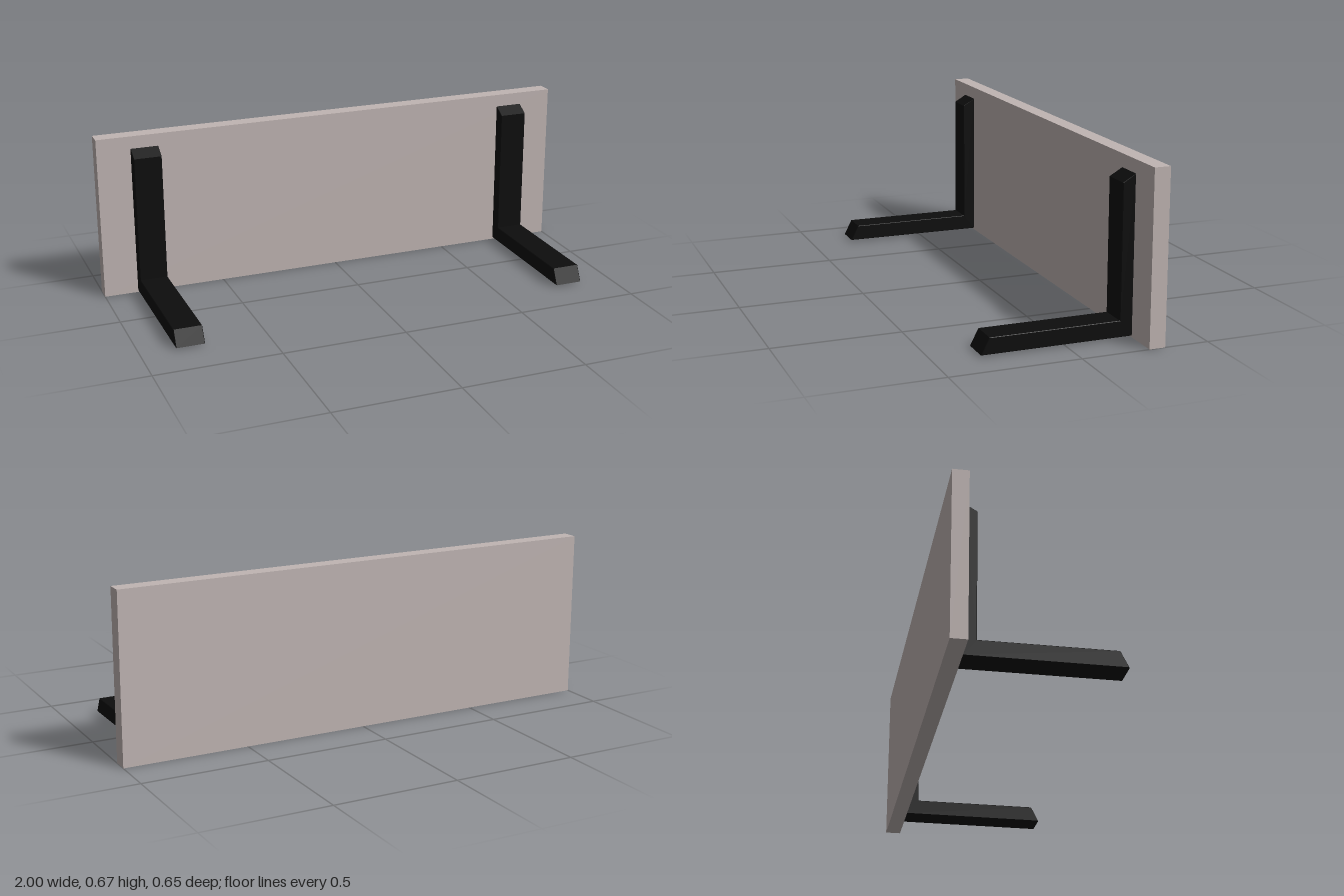
import * as THREE from 'three';

export function createModel() {
  const group = new THREE.Group();
  const panelMaterial = new THREE.MeshStandardMaterial({ color: 0xc0b5b3, flatShading: true });
  panelMaterial.name = 'warm grey panel';
  const bracketMaterial = new THREE.MeshStandardMaterial({ color: 0x0d0d0d, flatShading: true });
  bracketMaterial.name = 'black bracket';

  // Upright board
  const panel = new THREE.Mesh(new THREE.BoxGeometry(2, 0.666, 0.063), panelMaterial);
  panel.name = 'panel';
  panel.position.set(0, 0.333, -0.2955);
  group.add(panel);

  // L-shaped bracket: side profile as (z, y), with slanted ends
  const profile = new THREE.Shape([
    [0.327, 0.008], [0.295, 0.071], [-0.213, 0.071],
    [-0.213, 0.586], [-0.263, 0.615], [-0.263, 0.008],
  ].map(([z, y]) => new THREE.Vector2(z, y)));
  const width = 0.113, bevel = 0.002;
  const bracketGeometry = new THREE.ExtrudeGeometry(profile, {
    depth: width - 2 * bevel, bevelEnabled: true, bevelSegments: 1,
    bevelSize: bevel, bevelThickness: bevel, bevelOffset: -bevel,
  });
  bracketGeometry.translate(0, 0, -width / 2 + bevel);
  bracketGeometry.rotateY(-Math.PI / 2);

  // One bracket near each end
  for (const [name, side] of [['leftBracket', 1], ['rightBracket', -1]]) {
    const bracket = new THREE.Mesh(bracketGeometry, bracketMaterial);
    bracket.name = name;
    bracket.position.x = side * 0.807;
    group.add(bracket);
  }
  return group;
}
